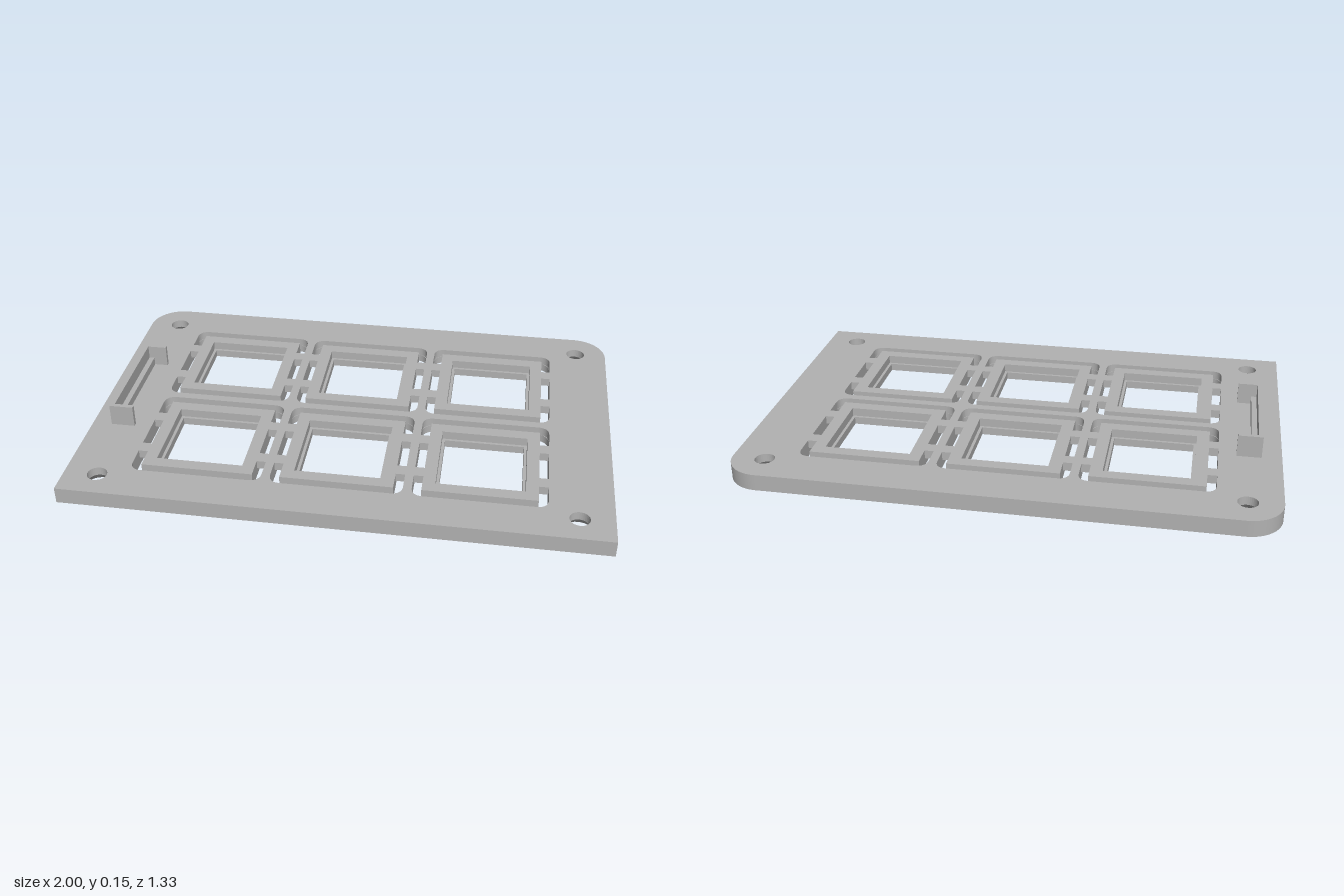
import * as THREE from 'three';

const H = 0.063, MID = 0.03;          // plate thickness, level of the inner steps
const DEPTH = 0.666;                  // half depth of the plate
const OUT = 0.245, INN = 0.21;        // half sizes of the slot ring around a cell
const CELLS_X = [-0.522, 0, 0.522], CELLS_Z = [-0.254, 0.27];
const SCREWS = [[-0.875, -0.545], [0.875, -0.545], [-0.875, 0.559], [0.875, 0.559]];

export function createModel() {
  const model = new THREE.Group();
  const grey = new THREE.MeshStandardMaterial({ color: 0xb2b2b2 });
  grey.name = 'plain grey';

  const add = (name, geometry) => {
    const mesh = new THREE.Mesh(geometry, grey);
    mesh.name = name;
    model.add(mesh);
    return mesh;
  };

  // Shapes are drawn with y = -z, then laid flat
  const layer = (name, shapes, y0, y1) => {
    const g = new THREE.ExtrudeGeometry(shapes, { depth: y1 - y0, bevelEnabled: false, curveSegments: 16 });
    g.rotateX(-Math.PI / 2);
    g.translate(0, y0, 0);
    return add(name, g);
  };

  const roundedRect = (Type, cx, cy, w, h, r) => {
    const s = new Type();
    s.moveTo(cx - w + r, cy - h);
    s.lineTo(cx + w - r, cy - h);
    if (r) s.absarc(cx + w - r, cy - h + r, r, -Math.PI / 2, 0);
    s.lineTo(cx + w, cy + h - r);
    if (r) s.absarc(cx + w - r, cy + h - r, r, 0, Math.PI / 2);
    s.lineTo(cx - w + r, cy + h);
    if (r) s.absarc(cx - w + r, cy + h - r, r, Math.PI / 2, Math.PI);
    s.lineTo(cx - w, cy - h + r);
    if (r) s.absarc(cx - w + r, cy - h + r, r, Math.PI, Math.PI * 1.5);
    s.closePath();
    return s;
  };

  // Plate outline: square front corners, rounded back corners, screw holes
  const outline = (holeRadius) => {
    const r = 0.13, s = new THREE.Shape();
    s.moveTo(-1, -DEPTH);
    s.lineTo(1, -DEPTH);
    s.lineTo(1, DEPTH - r);
    s.absarc(1 - r, DEPTH - r, r, 0, Math.PI / 2);
    s.lineTo(-1 + r, DEPTH);
    s.absarc(-1 + r, DEPTH - r, r, Math.PI / 2, Math.PI);
    s.closePath();
    for (const [x, z] of SCREWS) {
      s.holes.push(new THREE.Path().absarc(x, -z, holeRadius, 0, Math.PI * 2));
    }
    return s;
  };

  // U-shaped slot round one end of a cell; dir is 1 for the back, -1 for the front
  const uSlot = (cx, cy, dir) => {
    const b = 0.128, r = 0.045, p = new THREE.Path();
    const y = (v) => cy + dir * v;
    p.moveTo(cx - OUT, y(b));
    p.lineTo(cx - OUT, y(OUT - r));
    p.quadraticCurveTo(cx - OUT, y(OUT), cx - OUT + r, y(OUT));
    p.lineTo(cx + OUT - r, y(OUT));
    p.quadraticCurveTo(cx + OUT, y(OUT), cx + OUT, y(OUT - r));
    p.lineTo(cx + OUT, y(b));
    p.lineTo(cx + INN, y(b));
    p.lineTo(cx + INN, y(INN));
    p.lineTo(cx - INN, y(INN));
    p.lineTo(cx - INN, y(b));
    p.closePath();
    return p;
  };

  const upper = outline(0.037), lower = outline(0.06), frames = [];
  for (const x of CELLS_X) for (const z of CELLS_Z) {
    // Upper layer: wide window, end slots and short side slots, leaving bridges
    upper.holes.push(roundedRect(THREE.Path, x, -z, 0.163, 0.163, 0));
    upper.holes.push(uSlot(x, -z, 1), uSlot(x, -z, -1));
    for (const side of [-1, 1]) {
      upper.holes.push(roundedRect(THREE.Path, x + side * (OUT + INN) / 2, -z, (OUT - INN) / 2, 0.077, 0));
    }
    // Lower layer: unbroken ring slot round a frame with a narrower window
    lower.holes.push(roundedRect(THREE.Path, x, -z, OUT, OUT, 0.045));
    const frame = roundedRect(THREE.Shape, x, -z, INN, INN, 0);
    frame.holes.push(roundedRect(THREE.Path, x, -z, 0.152, 0.152, 0));
    frames.push(frame);
  }
  layer('plateTop', upper, MID, H);
  layer('plateBottom', lower, 0, MID);
  layer('windowFrames', frames, 0, MID);

  // Countersinks under the screw holes
  for (const [x, z] of SCREWS) {
    const cone = [new THREE.Vector2(0.037, MID), new THREE.Vector2(0.06, 0)];
    add('countersink', new THREE.LatheGeometry(cone, 32)).position.set(x, 0, z);
  }

  // Holder on the right-hand edge: back wall, low ledge and two end caps
  const block = (name, x0, x1, y1, z0, z1) =>
    add(name, new THREE.BoxGeometry(x1 - x0, y1 - H, z1 - z0))
      .position.set((x0 + x1) / 2, (H + y1) / 2, (z0 + z1) / 2);
  block('holderWall', -0.925, -0.908, 0.148, -0.205, 0.228);
  block('holderLedge', -0.908, -0.887, 0.095, -0.205, 0.228);
  block('holderCapBack', -0.925, -0.833, 0.148, -0.221, -0.205);
  block('holderCapFront', -0.925, -0.833, 0.148, 0.228, 0.245);

  return model;
}
